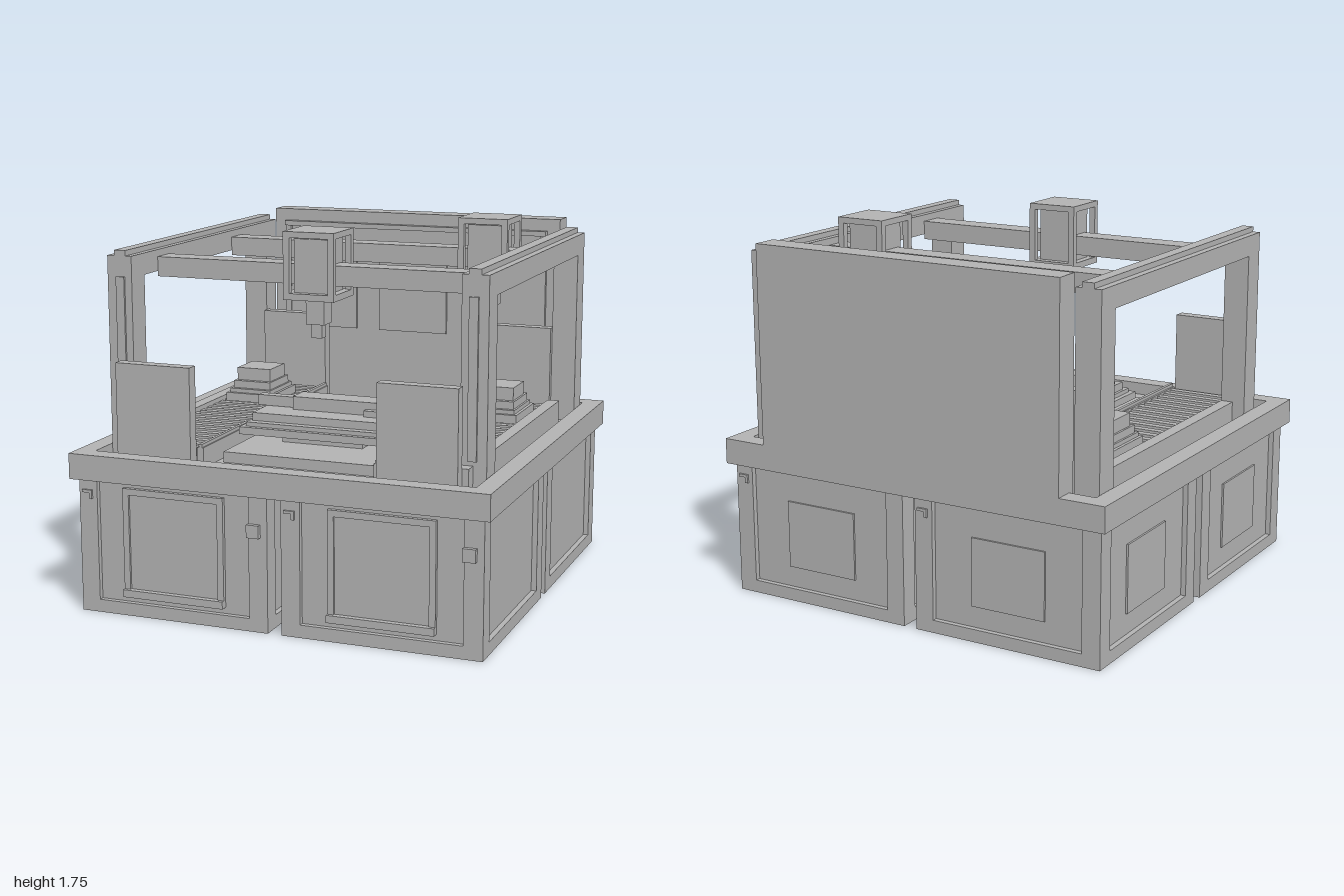
import * as THREE from 'three';

const grey = new THREE.MeshStandardMaterial({ color: 0xb3b3b3 });
grey.name = 'machineGrey';

// Box given by its minimum and maximum on each axis
function box(parent, name, x0, x1, y0, y1, z0, z1) {
  const m = new THREE.Mesh(new THREE.BoxGeometry(x1 - x0, y1 - y0, z1 - z0), grey);
  m.position.set((x0 + x1) / 2, (y0 + y1) / 2, (z0 + z1) / 2);
  m.name = name;
  parent.add(m);
  return m;
}

function group(parent, name, x = 0, y = 0, z = 0) {
  const g = new THREE.Group();
  g.name = name;
  g.position.set(x, y, z);
  parent.add(g);
  return g;
}

// Base cabinet with recessed sides, a framed door, and rear and side hatches
function addCabinet(parent, cx, cz) {
  const g = group(parent, 'cabinet', cx, 0, cz);
  const h = 0.467, post = 0.09, c = h - 0.025;
  box(g, 'cabinetBottom', -h, h, 0, 0.06, -h, h);
  box(g, 'cabinetCore', -c, c, 0.06, 0.63, -c, c);
  for (const sx of [-1, 1]) for (const sz of [-1, 1]) {
    const x = sx * (h - post / 2), z = sz * (h - post / 2);
    box(g, 'cornerPost', x - post / 2, x + post / 2, 0.06, 0.63, z - post / 2, z + post / 2);
  }
  // door frame with projecting sill
  box(g, 'doorFrameSide', -0.25, -0.22, 0.12, 0.6, c, c + 0.02);
  box(g, 'doorFrameSide', 0.22, 0.25, 0.12, 0.6, c, c + 0.02);
  box(g, 'doorFrameTop', -0.22, 0.22, 0.57, 0.6, c, c + 0.02);
  box(g, 'doorSill', -0.25, 0.25, 0.09, 0.125, c, h + 0.012);
  box(g, 'doorPanel', -0.22, 0.22, 0.125, 0.57, c, c + 0.009);
  box(g, 'doorHandle', 0.375, 0.435, 0.44, 0.5, h, h + 0.022);
  // rear and side hatches
  box(g, 'rearHatch', -0.185, 0.185, 0.16, 0.48, -c - 0.009, -c);
  box(g, 'sideHatch', -c - 0.009, -c, 0.16, 0.48, -0.185, 0.185);
  // small hooks on the upper corners
  for (const s of [-1, 1]) {
    const z0 = s > 0 ? h : -h - 0.01;
    const x = s > 0 ? -0.425 : 0.425;
    box(g, 'hookBar', x - 0.025, x + 0.025, 0.567, 0.58, z0, z0 + 0.01);
    box(g, 'hookLeg', x + s * 0.018 - 0.007, x + s * 0.018 + 0.007, 0.54, 0.567, z0, z0 + 0.01);
  }
}

// Tray-shaped worktop
function addWorktop(parent) {
  const g = group(parent, 'worktop');
  box(g, 'worktopFloor', -1, 1, 0.63, 0.69, -1, 1);
  for (const s of [-1, 1]) {
    box(g, 'worktopRim', s * 0.955 - 0.045, s * 0.955 + 0.045, 0.69, 0.75, -1, 1);
    box(g, 'worktopRim', -0.91, 0.91, 0.69, 0.75, s * 0.955 - 0.045, s * 0.955 + 0.045);
  }
}

// Back wall with frame, display panels and upper ledge
function addBackWall(parent) {
  const g = group(parent, 'backWall');
  box(g, 'wall', -0.78, 0.78, 0.69, 1.69, -1, -0.875);
  for (const x of [-0.5, 0, 0.5]) box(g, 'wallPanel', x - 0.185, x + 0.185, 1.07, 1.44, -0.875, -0.86);
  for (const s of [-1, 1]) box(g, 'wallUpright', s * 0.7 - 0.015, s * 0.7 + 0.015, 0.8, 1.605, -0.875, -0.855);
  box(g, 'wallLedge', -0.715, 0.715, 1.605, 1.63, -0.875, -0.84);
}

// One side of the gantry: posts, beam, guide rail, front strip
function addGantrySide(parent, s) {
  const g = group(parent, s > 0 ? 'leftGantry' : 'rightGantry');
  const b = (name, a, c, ...r) => box(g, name, Math.min(s * a, s * c), Math.max(s * a, s * c), ...r);
  b('frontPost', 0.785, 0.907, 0.69, 1.53, 0.63, 0.755);
  b('rearPost', 0.785, 0.907, 0.69, 1.53, -0.875, -0.75);
  b('sideBeam', 0.785, 0.907, 1.53, 1.63, -0.875, 0.755);
  b('guideRail', 0.815, 0.872, 1.63, 1.655, -0.875, 0.755);
  b('frontStrip', 0.82, 0.862, 0.82, 1.535, 0.755, 0.765);
}

// Roller conveyor with rails and end shields
function addConveyor(parent, s) {
  const g = group(parent, s > 0 ? 'leftConveyor' : 'rightConveyor');
  const b = (name, a, c, ...r) => box(g, name, Math.min(s * a, s * c), Math.max(s * a, s * c), ...r);
  b('innerRail', 0.41, 0.443, 0.69, 0.785, -0.69, 0.815);
  b('innerRailCap', 0.417, 0.433, 0.785, 0.8, -0.69, 0.815);
  b('outerRail', 0.785, 0.845, 0.69, 0.8, -0.69, 0.815);
  for (let i = 0; i < 21; i++) {
    const z = -0.67 + i * 0.0725;
    b('roller', 0.443, 0.785, 0.74, 0.778, z - 0.019, z + 0.019);
  }
  b('frontShield', 0.445, 0.815, 0.69, 1.16, 0.815, 0.875);
  b('rearShield', 0.437, 0.785, 0.69, 1.16, -0.78, -0.72);
  // stepped part riding on the rollers
  const p = group(g, 'conveyorPart', s * 0.64, 0, -0.345);
  const steps = [[0.125, 0.157, 0.778, 0.82], [0.11, 0.14, 0.82, 0.84],
    [0.1, 0.118, 0.84, 0.877], [0.09, 0.092, 0.877, 0.94]];
  for (const [x, z, y0, y1] of steps) box(p, 'partStep', -x, x, y0, y1, -z, z);
}

// Crossbeam with a framed tool head
function addToolBeam(parent, z, headX) {
  const g = group(parent, 'toolBeam', 0, 0, z);
  box(g, 'crossbeam', -0.785, 0.785, 1.505, 1.597, -0.06, 0.06);
  const h = group(g, 'toolHead', headX, 0, 0);
  const r = 0.123, t = 0.03;
  box(h, 'headTop', -r, r, 1.722, 1.75, -r, r);
  box(h, 'headBottom', -r, r, 1.44, 1.47, -r, r);
  for (const sx of [-1, 1]) for (const sz of [-1, 1]) {
    const x = sx * (r - t / 2), zz = sz * (r - t / 2);
    box(h, 'headPost', x - t / 2, x + t / 2, 1.47, 1.722, zz - t / 2, zz + t / 2);
  }
  box(h, 'headCore', -0.085, 0.085, 1.47, 1.715, -0.085, 0.085);
  box(h, 'nozzle', -0.045, 0.045, 1.32, 1.44, -0.045, 0.045);
  box(h, 'nozzleTip', -0.025, 0.025, 1.255, 1.32, -0.025, 0.025);
}

// Central work station
function addStation(parent) {
  const g = group(parent, 'workStation');
  box(g, 'bedPlate', -0.375, 0.372, 0.69, 0.74, -0.63, 0.68);
  box(g, 'pedestal', -0.2, 0.2, 0.74, 0.785, 0.05, 0.4);
  box(g, 'stationBase', -0.375, 0.372, 0.785, 0.82, -0.06, 0.505);
  box(g, 'stationStep', -0.35, 0.35, 0.82, 0.84, -0.035, 0.48);
  box(g, 'stationPlate', -0.335, 0.335, 0.84, 0.878, 0, 0.44);
  box(g, 'fixtureBar', -0.185, 0.245, 0.878, 0.94, 0.185, 0.31);
  box(g, 'fixtureArm', -0.375, -0.185, 0.88, 0.93, 0.23, 0.28);
  box(g, 'fixtureBlock', 0.185, 0.34, 0.845, 0.907, 0.155, 0.345);
  box(g, 'fixtureTongue', 0.03, 0.12, 0.878, 0.905, 0.06, 0.185);
}

export function createModel() {
  const model = new THREE.Group();
  model.name = 'assemblyCell';
  for (const x of [-0.5, 0.5]) for (const z of [-0.5, 0.5]) addCabinet(model, x, z);
  addWorktop(model);
  addBackWall(model);
  for (const s of [-1, 1]) {
    addGantrySide(model, s);
    addConveyor(model, s);
  }
  addToolBeam(model, 0.435, 0);
  addToolBeam(model, -0.38, 0.562);
  addStation(model);
  return model;
}
